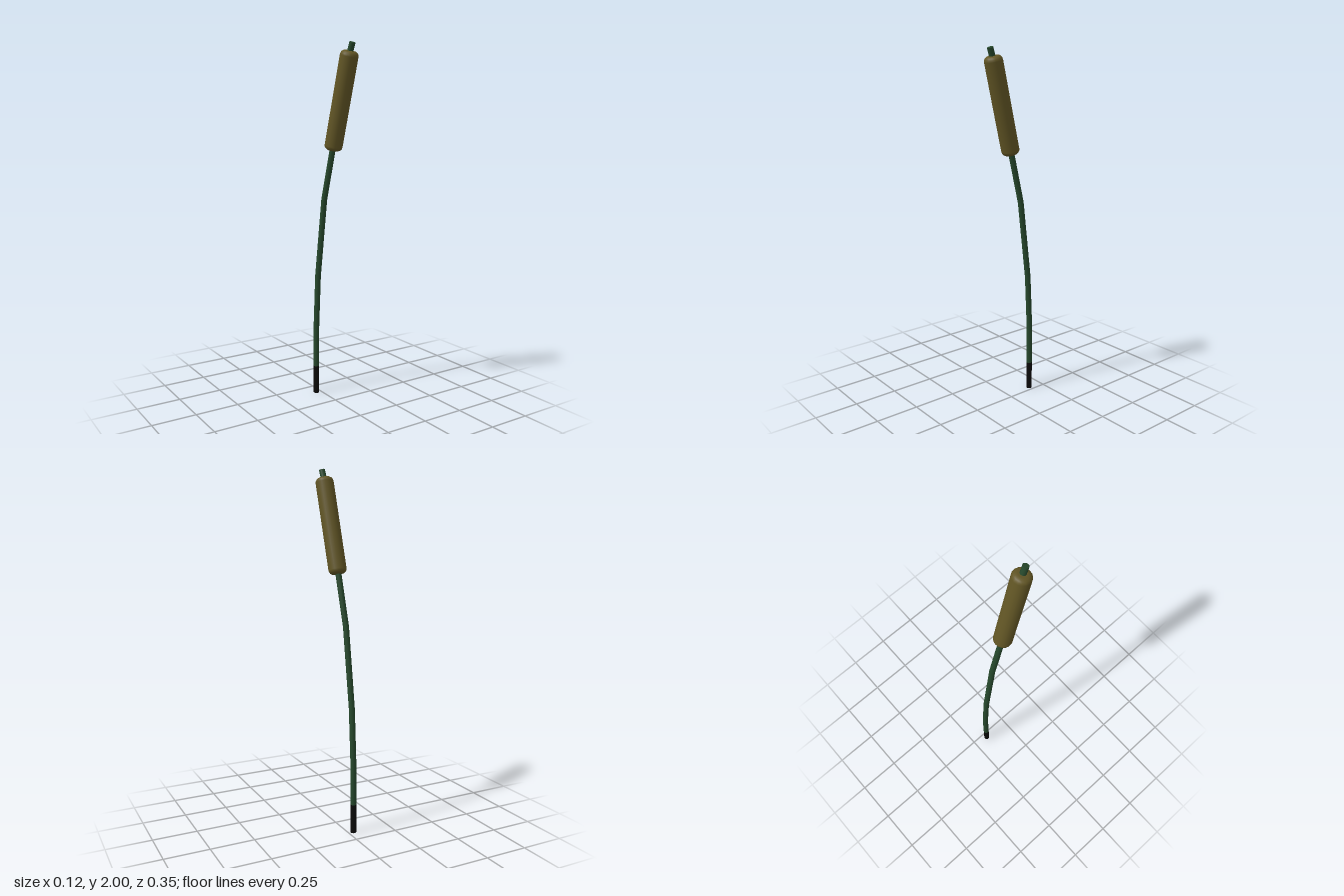
import * as THREE from 'three';

const RADIUS = 0.0165;
const V = (x, y, z) => new THREE.Vector3(x, y, z);

// Curve made of straight pieces, one tube ring per point, so the bends stay visible
class BentPath extends THREE.Curve {
  constructor(points) {
    super();
    this.points = points;
  }
  getPoint(t, target = new THREE.Vector3()) {
    const last = this.points.length - 1;
    const i = Math.min(Math.floor(t * last + 1e-9), last - 1);
    return target.lerpVectors(this.points[i], this.points[i + 1], t * last - i);
  }
  getUtoTmapping(u) {
    return u;
  }
}

// Revolve a profile around the line from a to b, with heights measured from a
function latheBetween(profile, a, b, material, name) {
  const points = profile.map(([r, h]) => new THREE.Vector2(r, h));
  const mesh = new THREE.Mesh(new THREE.LatheGeometry(points, 16), material);
  mesh.position.copy(a);
  mesh.quaternion.setFromUnitVectors(V(0, 1, 0), b.clone().sub(a).normalize());
  mesh.name = name;
  return mesh;
}

export function createModel() {
  const stemGreen = new THREE.MeshStandardMaterial({ color: 0x26482c });
  stemGreen.name = 'stem green';
  const headBrown = new THREE.MeshStandardMaterial({ color: 0x625625 });
  headBrown.name = 'seed head brown';
  const baseBlack = new THREE.MeshStandardMaterial({ color: 0x0b0a09 });
  baseBlack.name = 'base black';

  const group = new THREE.Group();
  group.name = 'reed';

  // Dark foot of the stem
  const foot = V(-0.029, 0, -0.161);
  const footTop = V(-0.029, 0.165, -0.161);
  const base = new THREE.Mesh(new THREE.CylinderGeometry(RADIUS, RADIUS, 0.165, 12), baseBlack);
  base.position.lerpVectors(foot, footTop, 0.5);
  base.name = 'stemBase';
  group.add(base);

  // Bending stem that runs on through the seed head
  const stemPoints = [
    footTop,
    V(-0.028, 0.4, -0.16),
    V(-0.026, 0.71, -0.143),
    V(-0.02, 1.16, -0.083),
    V(-0.012, 1.44, -0.009),
    V(0.006, 1.95, 0.129),
  ];
  const stem = new THREE.Mesh(
    new THREE.TubeGeometry(new BentPath(stemPoints), stemPoints.length - 1, RADIUS, 12),
    stemGreen
  );
  stem.name = 'stem';
  group.add(stem);

  // Seed head: a cylinder with rounded shoulders
  const headBottom = V(-0.012, 1.436, -0.007);
  const headTop = V(0.006, 1.954, 0.129);
  const length = headBottom.distanceTo(headTop);
  const r = 0.05;
  const bevel = 0.026;
  const profile = [[0, 0]];
  for (let i = 0; i <= 4; i++) {
    const a = (i / 4) * Math.PI / 2;
    profile.push([r - bevel + bevel * Math.sin(a), bevel - bevel * Math.cos(a)]);
  }
  const upper = profile.map(([x, h]) => [x, length - h]).reverse();
  group.add(latheBetween([...profile, ...upper], headBottom, headTop, headBrown, 'seedHead'));

  // Short tip above the head, closed by a flat cap
  const tipStart = V(0.005, 1.93, 0.123);
  const tipEnd = V(0.009, 1.996, 0.147);
  const tipLength = tipStart.distanceTo(tipEnd);
  const tipProfile = [[RADIUS, 0], [RADIUS, tipLength], [RADIUS, tipLength], [0, tipLength]];
  group.add(latheBetween(tipProfile, tipStart, tipEnd, stemGreen, 'tip'));

  return group;
}
